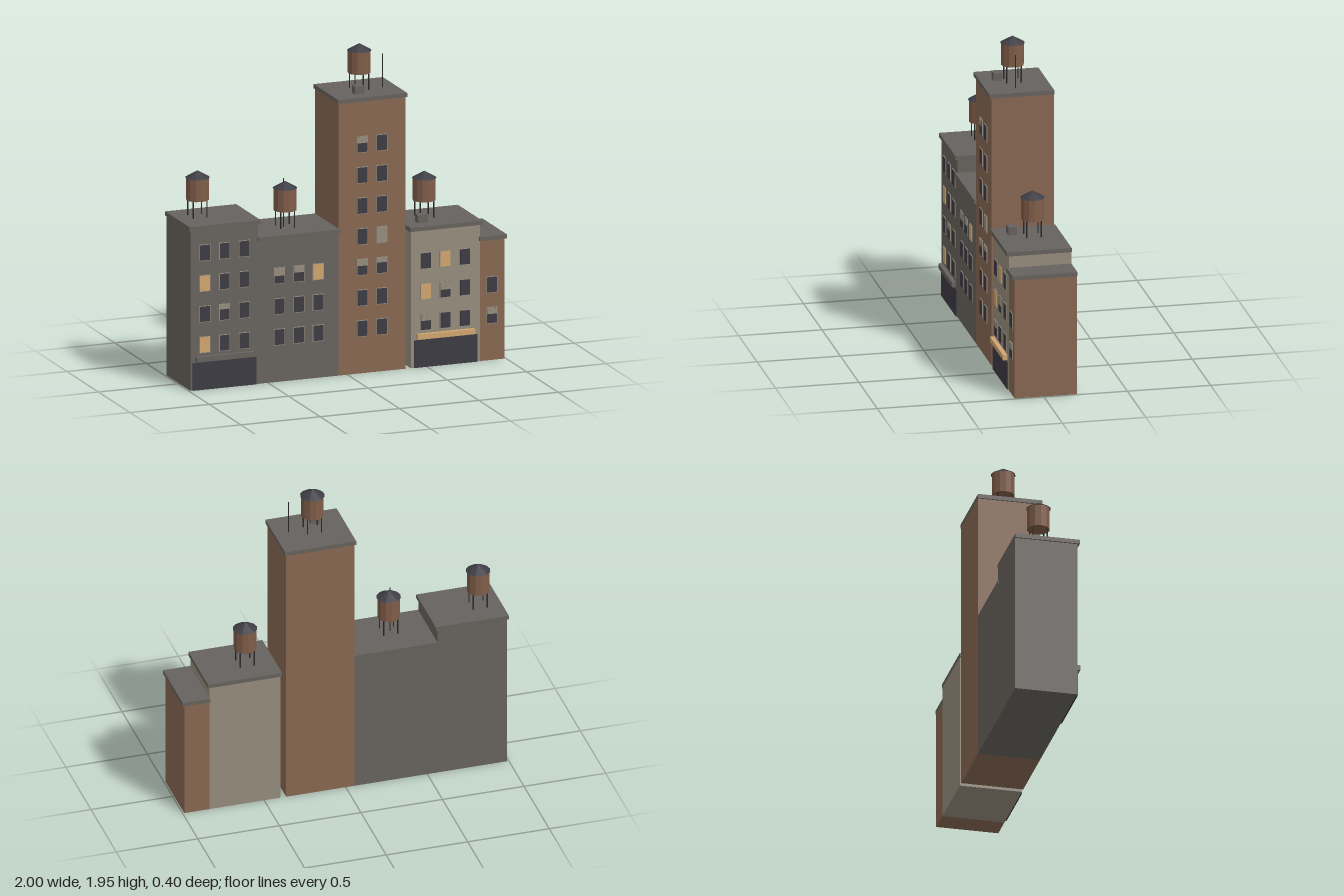
import * as THREE from 'three';

const mat = (name, color, extra = {}) => {
  const m = new THREE.MeshStandardMaterial({ color, ...extra });
  m.name = name;
  return m;
};

export function createModel() {
  const brick = mat('brown brick', 0x876752);
  const stone = mat('grey stone', 0x67625d);
  const beige = mat('beige plaster', 0x958c7c);
  const trim = mat('roof grey', 0x66625e);
  const dark = mat('dark glass', 0x3c3a43);
  const lit = mat('lit amber', 0xd0a570);
  const wood = mat('tank wood', 0x805d49, { flatShading: true });
  const cap = mat('tank roof', 0x3e3d45, { flatShading: true });
  const iron = mat('black iron', 0x2b2a2d);

  const root = new THREE.Group();
  root.name = 'cityBlock';
  const BACK = -0.2, FACE = 0.174;

  const add = (parent, name, geometry, material, x = 0, y = 0, z = 0) => {
    const mesh = new THREE.Mesh(geometry, material);
    mesh.name = name;
    mesh.position.set(x, y, z);
    parent.add(mesh);
    return mesh;
  };
  // Box given by its extents on each axis
  const box = (parent, name, material, x0, x1, y0, y1, z0, z1) =>
    add(parent, name, new THREE.BoxGeometry(x1 - x0, y1 - y0, z1 - z0), material,
      (x0 + x1) / 2, (y0 + y1) / 2, (z0 + z1) / 2);

  // Window: L = lit, D = dark, a digit = tenths covered by a blind, B = full blind
  function addWindow(parent, x, y, code) {
    const g = new THREE.Group();
    g.name = 'window';
    g.position.set(x, y, FACE);
    parent.add(g);
    box(g, 'windowFrame', beige, -0.035, 0.035, -0.05, 0.05, 0, 0.004);
    const pane = code === 'L' ? lit : code === 'B' ? beige : dark;
    box(g, 'windowPane', pane, -0.031, 0.031, -0.046, 0.046, 0.001, 0.006);
    const cover = Number(code);
    if (cover > 0) {
      box(g, 'windowBlind', beige, -0.031, 0.031, 0.046 - 0.0092 * cover, 0.046, 0.002, 0.008);
    }
  }

  // Rooftop water tank on four legs
  function addTank(parent, x, y, z) {
    const g = new THREE.Group();
    g.name = 'waterTank';
    g.position.set(x, y, z);
    parent.add(g);
    for (const sx of [-1, 1]) for (const sz of [-1, 1]) {
      add(g, 'tankLeg', new THREE.CylinderGeometry(0.004, 0.004, 0.106, 6), iron,
        sx * 0.043, 0.053, sz * 0.043);
    }
    add(g, 'tankBarrel', new THREE.CylinderGeometry(0.068, 0.068, 0.136, 12), wood, 0, 0.17, 0);
    add(g, 'tankCap', new THREE.ConeGeometry(0.073, 0.042, 12), cap, 0, 0.257, 0);
  }

  // Window rows run from the street upwards
  const buildings = [
    { name: 'leftBuilding', wall: stone, x: [-0.99, -0.563], top: 0.996, cornice: [-1, -0.552],
      cols: [-0.9, -0.775, -0.65], rows: ['LDD', 'D3D', 'LDD', 'DDD'],
      tank: [-0.864, -0.03], shop: { x: [-0.975, -0.575], awning: [-0.958, -0.594], color: trim } },
    { name: 'lowBuilding', wall: stone, x: [-0.563, -0.055], top: 0.89, cornice: [-0.565, -0.05],
      cols: [-0.43, -0.307, -0.185], rows: ['DDD', 'DDD', '54L'],
      tank: [-0.328, 0.01], antenna: [-0.336, 0.01, 0.295] },
    { name: 'tower', wall: brick, x: [-0.055, 0.365], top: 1.675, cornice: [-0.064, 0.372],
      cols: [0.093, 0.216], rows: ['DD', 'DD', '43', 'DB', 'DD', 'DD', '4D'],
      tank: [0.143, 0], antenna: [0.284, 0.013, 0.205], vent: [0.073, 0.133] },
    { name: 'shopBuilding', wall: beige, x: [0.4, 0.836], top: 0.854, cornice: [0.391, 0.845],
      cols: [0.494, 0.617, 0.74], rows: ['4DD', 'L5D', 'DLD'],
      tank: [0.564, -0.027], vent: [0.472, 0.533],
      shop: { x: [0.42, 0.816], awning: [0.436, 0.796], color: lit } },
    { name: 'rightBuilding', wall: brick, x: [0.836, 0.99], top: 0.756, cornice: [0.829, 1],
      cols: [0.91], rows: ['4', 'D'] },
  ];

  for (const b of buildings) {
    const g = new THREE.Group();
    g.name = b.name;
    root.add(g);
    box(g, 'walls', b.wall, b.x[0], b.x[1], 0, b.top - 0.004, BACK, FACE);
    box(g, 'cornice', trim, b.cornice[0], b.cornice[1], b.top - 0.025, b.top, BACK - 0.001, 0.188);
    b.rows.forEach((row, r) => [...row].forEach((code, c) =>
      addWindow(g, b.cols[c], 0.272 + r * 0.186, code)));

    // Street level shop front with an awning above
    if (b.shop) {
      box(g, 'shopFront', dark, b.shop.x[0], b.shop.x[1], 0, 0.166, FACE - 0.002, 0.181);
      box(g, 'awning', b.shop.color, b.shop.awning[0], b.shop.awning[1], 0.174, 0.205, FACE - 0.002, 0.2);
    }
    // Rooftop equipment
    if (b.tank) addTank(g, b.tank[0], b.top, b.tank[1]);
    if (b.vent) box(g, 'roofVent', trim, b.vent[0], b.vent[1], b.top, b.top + 0.048, 0.06, 0.11);
    if (b.antenna) {
      const [x, z, h] = b.antenna;
      add(g, 'antenna', new THREE.CylinderGeometry(0.003, 0.003, h, 6), iron, x, b.top + h / 2, z);
    }
  }
  return root;
}
